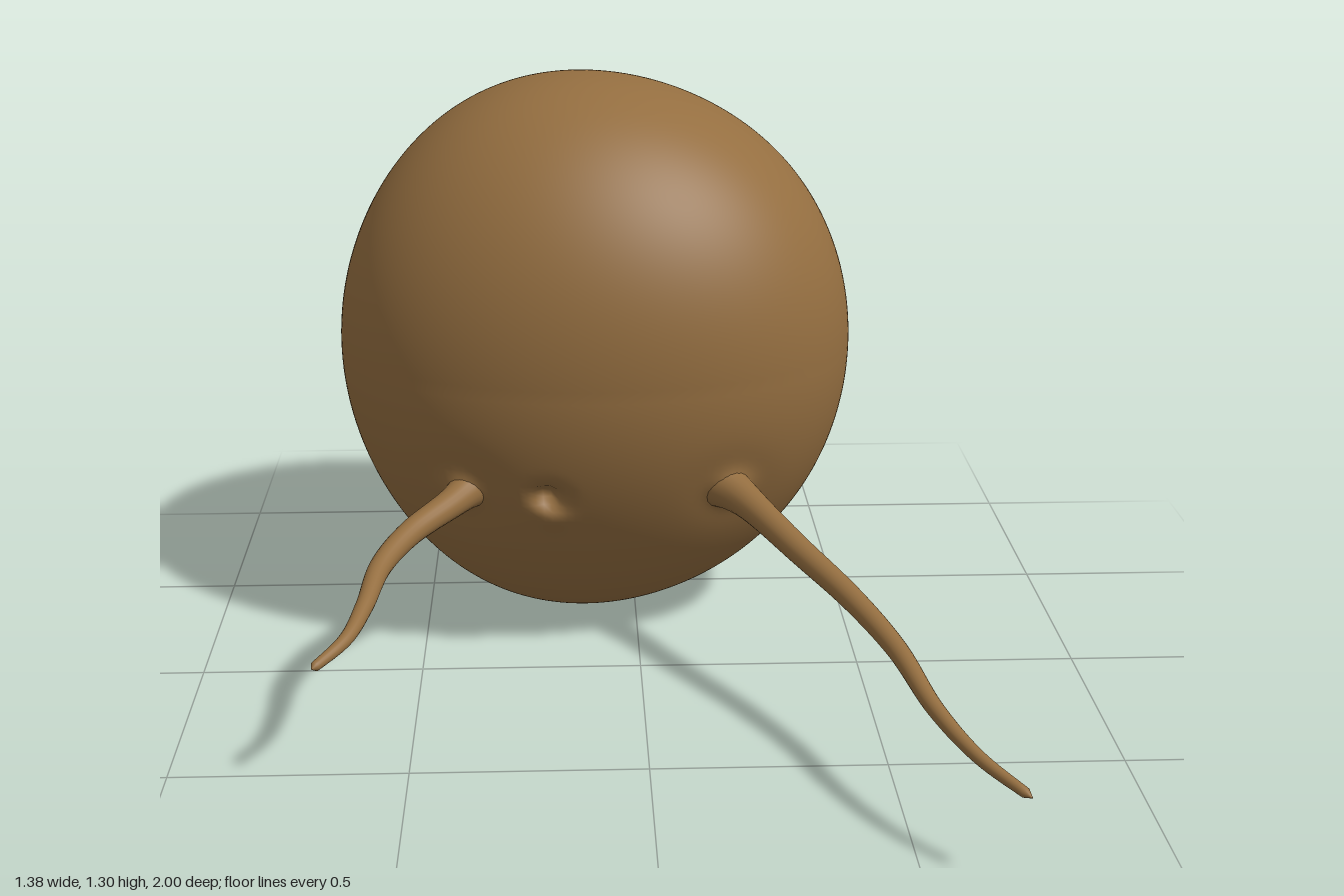
import * as THREE from 'three';
import { mergeVertices } from 'three/addons/utils/BufferGeometryUtils.js';

// Weld seams so that normals stay smooth all round
function smooth(geometry) {
  geometry.deleteAttribute('uv');
  geometry.deleteAttribute('normal');
  const welded = mergeVertices(geometry, 1e-5);
  welded.computeVertexNormals();
  return welded;
}

const limbRoots = [[0.21, 0.42], [-0.41, 0.42]];
const bump = (x, y, cx, cy, r) => Math.exp(-((x - cx) ** 2 + (y - cy) ** 2) / (r * r));

// Rounded body with a flatter front, a receding underside and a small pit
function bodyGeometry() {
  const g = new THREE.SphereGeometry(1, 192, 144);
  const p = g.attributes.position;
  for (let i = 0; i < p.count; i++) {
    const nx = p.getX(i), ny = p.getY(i), nz = p.getZ(i);
    const x = -0.092 + nx * 0.602 - 0.035 * ny ** 4;
    const y = 0.65 + ny * 0.648 + 0.025 * (1 - ny * ny);
    let z = -0.437 - 0.563 * Math.abs(nz);
    if (nz > 0) {
      z = -0.437 + 0.515 * Math.pow(nz, 0.85);
      z += nz * (ny < 0 ? -0.13 * ny * ny : 0.05 * ny * (1 - ny));
      z -= 0.06 * bump(x, y, -0.205, 0.42, 0.03);
      z += 0.012 * bump(x, y, -0.2, 0.375, 0.035);
      for (const [cx, cy] of limbRoots) {
        z += 0.04 * bump(x, y, cx, cy, 0.04) - 0.012 * bump(x, y, cx, cy, 0.08);
      }
    }
    p.setXYZ(i, x, y, z);
  }
  return smooth(g);
}

// Tapered tendril along a curve, flared at its root
function limbGeometry(points, slope) {
  const curve = new THREE.CatmullRomCurve3(
    points.map(([x, z]) => new THREE.Vector3(x, 0.412 - slope * z, z)));
  const rings = 64, sides = 20;
  const g = new THREE.TubeGeometry(curve, rings, 1, sides);
  const p = g.attributes.position, v = new THREE.Vector3();
  for (let i = 0; i <= rings; i++) {
    const t = i / rings, c = curve.getPointAt(t);
    const r = i === rings ? 0.0005
      : 0.033 - 0.023 * t ** 1.4 + 0.03 * Math.exp(-t * 18);
    for (let j = 0; j <= sides; j++) {
      const k = i * (sides + 1) + j;
      v.fromBufferAttribute(p, k).sub(c).multiplyScalar(r).add(c);
      p.setXYZ(k, v.x, v.y, v.z);
    }
  }
  return smooth(g);
}

export function createModel() {
  const model = new THREE.Group();
  const brown = new THREE.MeshStandardMaterial({ color: 0x946e40 });
  brown.name = 'brown';
  const add = (name, geometry) => {
    const mesh = new THREE.Mesh(geometry, brown);
    mesh.name = name;
    model.add(mesh);
  };

  add('body', bodyGeometry());
  add('leftLimb', limbGeometry([[0.18, -0.07], [0.23, 0], [0.335, 0.2], [0.43, 0.38],
    [0.5, 0.55], [0.55, 0.74], [0.61, 0.88], [0.69, 0.995]], 0.222));
  add('rightLimb', limbGeometry([[-0.37, -0.08], [-0.42, 0], [-0.51, 0.12], [-0.565, 0.24],
    [-0.59, 0.38], [-0.62, 0.49], [-0.68, 0.585]], 0.222));
  return model;
}
